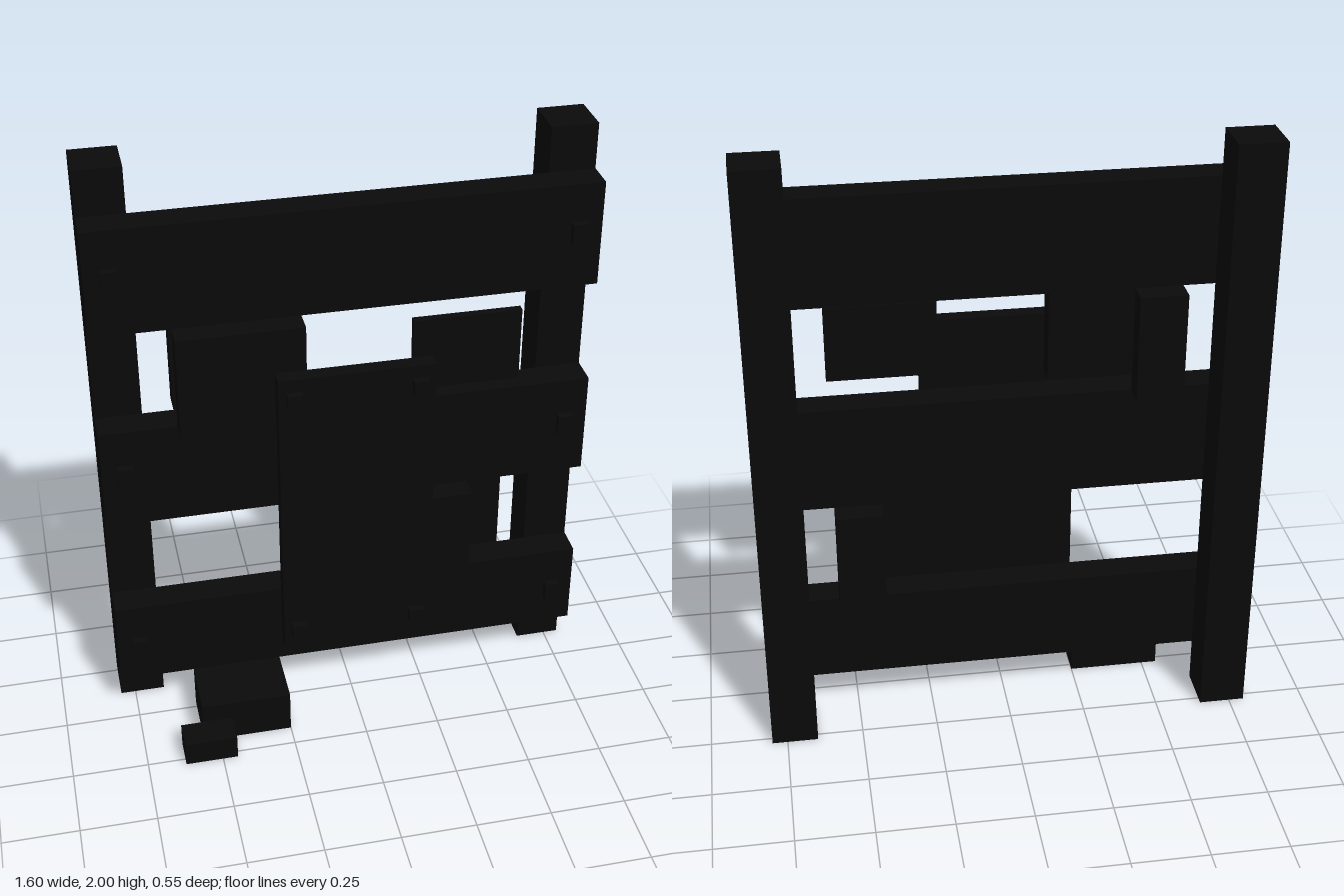
import * as THREE from 'three';

export function createModel() {
  const model = new THREE.Group();
  model.name = 'boardedBarricade';
  const black = new THREE.MeshStandardMaterial({ color: 0x0a0a0a });
  black.name = 'charred black';

  // box given by its [min, max] extent on each axis
  function slab(name, [x0, x1], [y0, y1], [z0, z1]) {
    const mesh = new THREE.Mesh(new THREE.BoxGeometry(x1 - x0, y1 - y0, z1 - z0), black);
    mesh.position.set((x0 + x1) / 2, (y0 + y1) / 2, (z0 + z1) / 2);
    mesh.name = name;
    model.add(mesh);
  }
  const around = (c, size) => [c - size / 2, c + size / 2];

  // uprights
  for (const side of [-1, 1]) {
    slab(side > 0 ? 'leftPost' : 'rightPost', around(side * 0.725, 0.15), [0, 2], [-0.275, -0.125]);
  }

  // horizontal planks, each with a bolt at both ends
  const planks = [[0.15, 0.45, 0.29], [0.8, 1.15, 0.99], [1.5, 1.85, 1.69]];
  for (const [bottom, top, boltY] of planks) {
    slab('plank', [-0.8, 0.8], [bottom, top], [-0.125, -0.025]);
    for (const side of [-1, 1]) {
      slab('plankBolt', around(side * 0.725, 0.05), around(boltY, 0.07), [-0.025, 0]);
    }
  }

  // front plate with four corner bolts
  slab('frontPlate', [-0.25, 0.25], [0.3, 1.35], [0.05, 0.1]);
  for (const x of [-0.2, 0.2]) {
    for (const y of [0.375, 1.28]) {
      slab('plateBolt', around(x, 0.05), around(y, 0.05), [0.1, 0.125]);
    }
  }

  // patch boards in the gaps, front and back
  slab('upperPatch', [-0.55, -0.15], [1.15, 1.5], [-0.025, 0.05]);
  slab('lowerPatch', [0.15, 0.4], [0.45, 0.8], [-0.025, 0.05]);
  slab('thinPatch', [0.2, 0.55], [1.2, 1.45], [-0.025, 0]);
  slab('upperBackBatten', [-0.55, -0.4], [1.15, 1.5], [-0.2, -0.125]);
  slab('lowerBackBatten', [0.4, 0.55], [0.45, 0.8], [-0.2, -0.125]);

  // rubble at the foot
  slab('largeRubble', [-0.55, -0.25], [0, 0.15], [-0.025, 0.175]);
  slab('smallRubble', [-0.625, -0.45], [0, 0.085], [0.175, 0.275]);

  return model;
}
